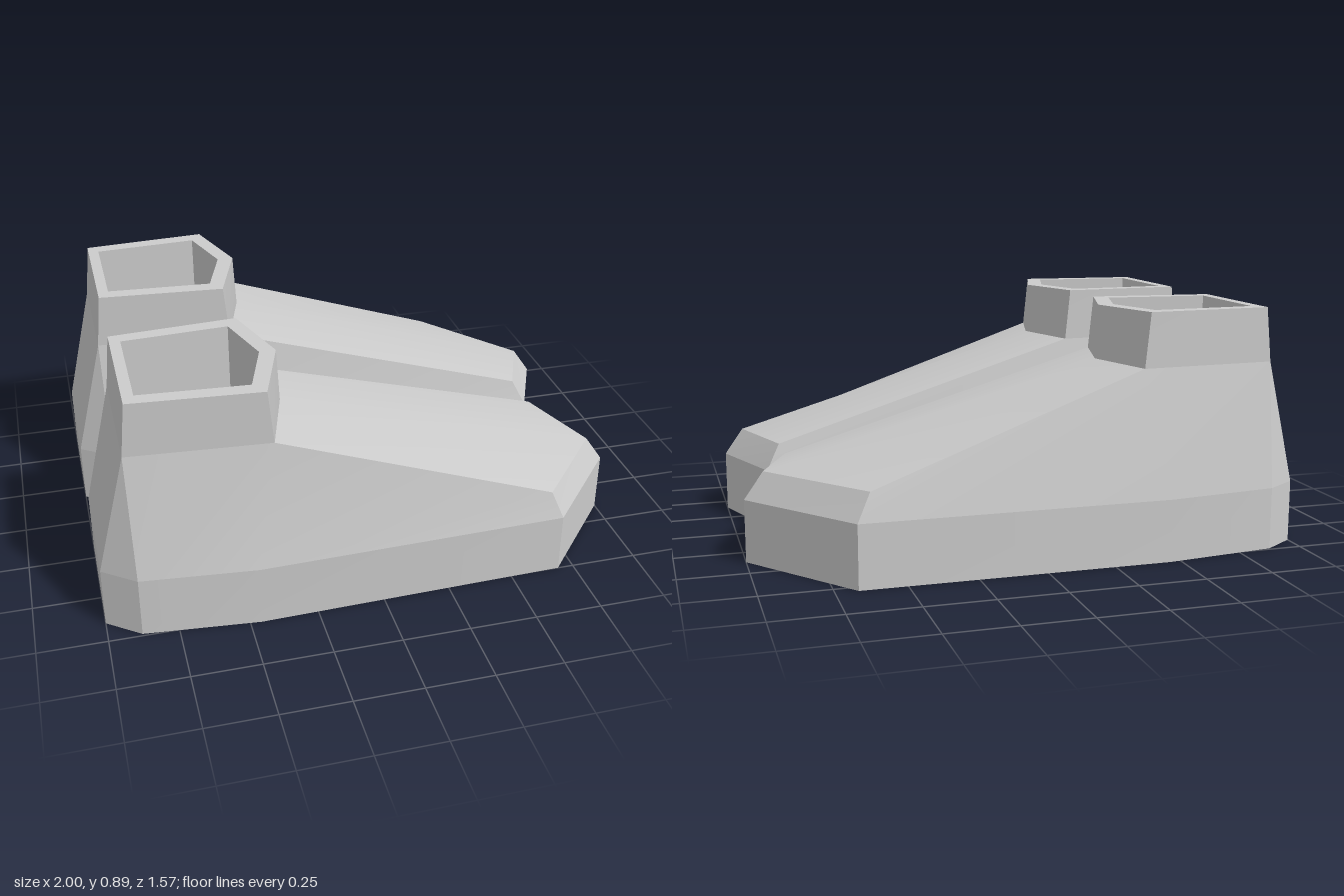
import * as THREE from 'three';
import { toCreasedNormals } from 'three/addons/utils/BufferGeometryUtils.js';

const material = new THREE.MeshStandardMaterial({ color: 0xcccccc });

// Outlines are [x, z] pairs, counter-clockwise seen from above.
const SHOES = [
  {
    name: 'frontShoe',
    sole: [[-1, .65], [-.88, .74], [-.46, .78], [.69, .75], [1, .4], [.87, .05], [-.46, .05], [-.88, .09], [-1, .18]],
    toe: [[.65, .72], [.93, .4], [.82, .07]],
    centre: .415,
  },
  {
    name: 'backShoe',
    sole: [[-1, -.18], [-.88, -.1], [-.46, -.05], [.87, -.08], [1, -.37], [.67, -.79], [-.46, -.79], [-.88, -.74], [-1, -.66]],
    toe: [[.82, -.11], [.93, -.37], [.62, -.76]],
    centre: -.42,
  },
];

const atHeight = (outline, y) => outline.map(([x, z]) => [x, y, z]);

// Five-sided ankle outline: straight back, widening to a pointed front.
function ankle(c, back, backHalf, mid, midHalf, tip, y) {
  return atHeight([[back, c + backHalf], [mid, c + midHalf], [tip, c], [mid, c - midHalf], [back, c - backHalf]], y);
}

// Fan of triangles over a convex polygon.
function polygon(points) {
  const tris = [];
  for (let i = 1; i < points.length - 1; i++) tris.push(points[0], points[i], points[i + 1]);
  return tris;
}

// Skin between successive closed rings, skipping collapsed triangles.
function loft(rings) {
  const tris = [];
  const same = (p, q) => p.every((v, k) => v === q[k]);
  for (let r = 0; r < rings.length - 1; r++) {
    const a = rings[r], b = rings[r + 1];
    for (let i = 0; i < a.length; i++) {
      const j = (i + 1) % a.length;
      tris.push(a[i], a[j], b[j]);
      if (!same(b[i], b[j])) tris.push(a[i], b[j], b[i]);
    }
  }
  return tris;
}

function addPart(group, name, tris) {
  const geometry = new THREE.BufferGeometry();
  geometry.setAttribute('position', new THREE.Float32BufferAttribute(tris.flat(), 3));
  const mesh = new THREE.Mesh(toCreasedNormals(geometry, 0.4), material);
  mesh.name = name;
  group.add(mesh);
}

function createShoe({ name, sole, toe, centre }) {
  const shoe = new THREE.Group();
  shoe.name = name;

  const ground = atHeight(sole, 0);
  const welt = atHeight(sole, .23);
  const [toeNear, toeTip, toeFar] = atHeight(toe, .33);
  const ankleLow = ankle(centre, -.89, .25, -.38, .285, -.3, .69);
  const ankleTop = ankle(centre, -.87, .25, -.4, .285, -.31, .89);
  const holeTop = ankle(centre, -.83, .2, -.44, .225, -.37, .89);
  const holeFloor = ankle(centre, -.83, .2, -.44, .225, -.37, .55);
  const [backNear, midNear, front, midFar, backFar] = ankleLow;

  // Vertical sole band with a flat underside
  addPart(shoe, 'sole', [...loft([ground, welt]), ...polygon([...ground].reverse())]);

  // Sloping heel, sides and toe bevel, closed by the ridged instep
  const shoulder = [backNear, backNear, midNear, toeNear, toeTip, toeFar, midFar, backFar, backFar];
  addPart(shoe, 'upper', [
    ...loft([welt, shoulder]),
    ...polygon([front, midNear, toeNear, toeTip]),
    ...polygon([front, toeTip, toeFar, midFar]),
  ]);

  // Hollow ankle collar
  addPart(shoe, 'collar', [
    ...loft([ankleLow, ankleTop, holeTop, holeFloor]),
    ...polygon(holeFloor),
  ]);
  return shoe;
}

export function createModel() {
  const model = new THREE.Group();
  model.name = 'pairOfShoes';
  SHOES.forEach((spec) => model.add(createShoe(spec)));
  return model;
}
